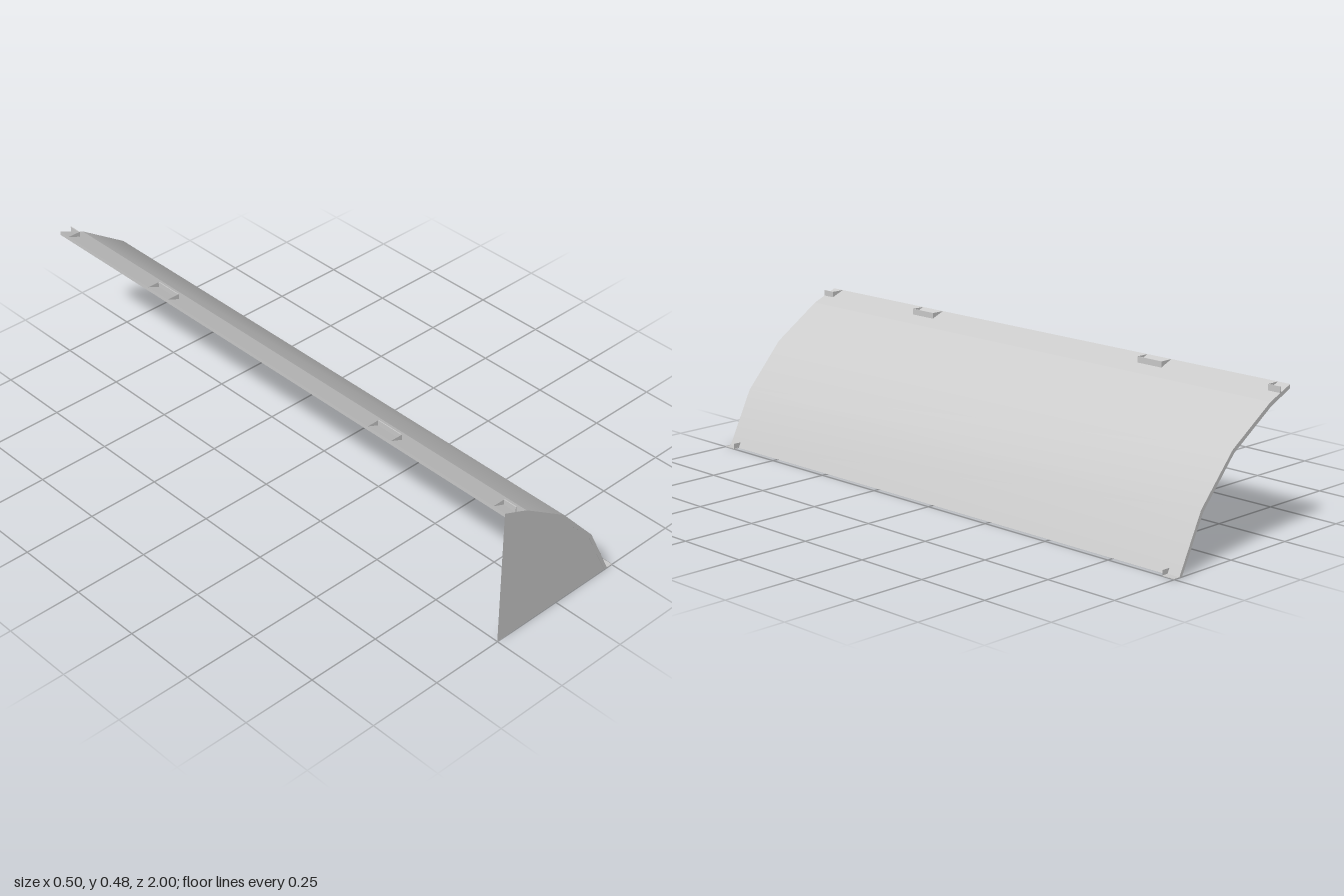
import * as THREE from 'three';
import { toCreasedNormals } from 'three/addons/utils/BufferGeometryUtils.js';

const LENGTH = 2;
// Canopy section, listed from the ridge down to the lower edge
const OUTER = [[-0.25, 0.478], [-0.16, 0.44], [0.006, 0.33], [0.14, 0.18], [0.229, 0]];
const INNER = [[-0.25, 0.465], [-0.165, 0.427], [0, 0.318], [0.13, 0.172], [0.217, 0]];

const solid = new THREE.MeshStandardMaterial({ color: 0xcccccc });
const thin = new THREE.MeshStandardMaterial({ color: 0xcccccc, side: THREE.DoubleSide });

const shapeOf = (points) => new THREE.Shape(points.map(([x, y]) => new THREE.Vector2(x, y)));

function named(name, geometry, material) {
  const mesh = new THREE.Mesh(geometry, material);
  mesh.name = name;
  return mesh;
}

// Sheet between the outer and inner lines, from one section point to another
function sheet(name, from, to) {
  const section = [...OUTER.slice(from, to + 1), ...INNER.slice(from, to + 1).reverse()];
  const geometry = new THREE.ExtrudeGeometry(shapeOf(section), { depth: LENGTH, bevelEnabled: false });
  geometry.translate(0, 0, -LENGTH / 2);
  return named(name, toCreasedNormals(geometry, 0.5), solid);
}

// Flat upright plate in the xy plane
function plate(name, points, z) {
  const mesh = named(name, new THREE.ShapeGeometry(shapeOf(points)), thin);
  mesh.position.z = z;
  return mesh;
}

// Open clip on the ridge: an upright lip closed by triangular cheeks
function ridgeClip(z0, z1, cheeks) {
  const clip = new THREE.Group();
  clip.name = 'ridgeClip';
  const lip = named('clipLip', new THREE.BoxGeometry(0.003, 0.019, z1 - z0), solid);
  lip.position.set(-0.2055, 0.4685, (z0 + z1) / 2);
  clip.add(lip);
  for (const z of cheeks) {
    clip.add(plate('clipCheek', [[-0.25, 0.478], [-0.204, 0.459], [-0.204, 0.478]], z));
  }
  return clip;
}

// Foot at a lower corner: a flat tab with an upright cheek on its inner side
function foot(side) {
  const group = new THREE.Group();
  group.name = 'foot';
  const tab = named('footTab', new THREE.BoxGeometry(0.032, 0.002, 0.045), solid);
  tab.position.set(0.234, 0.001, side * 0.9775);
  group.add(tab);
  group.add(plate('footCheek', [[0.228, 0], [0.25, 0], [0.25, 0.018], [0.22, 0.018]], side * 0.956));
  return group;
}

export function createModel() {
  const model = new THREE.Group();
  model.name = 'curvedCanopy';

  // Flat strip along the ridge and the smooth curve below it
  model.add(sheet('ridgeStrip', 0, 1), sheet('curvedSheet', 1, 4));

  // Single end panel below the sheet
  model.add(plate('endPanel', [[-0.25, 0], ...[...INNER].reverse()], 0.999));

  // Clips and feet, mirrored about the middle
  for (const side of [-1, 1]) {
    const middle = side * 0.5;
    model.add(ridgeClip(middle - 0.048, middle + 0.048, [middle - 0.048, middle + 0.048]));
    const end = side * 0.9775;
    model.add(ridgeClip(end - 0.0225, end + 0.0225, [side * 0.955]));
    model.add(foot(side));
  }
  return model;
}
